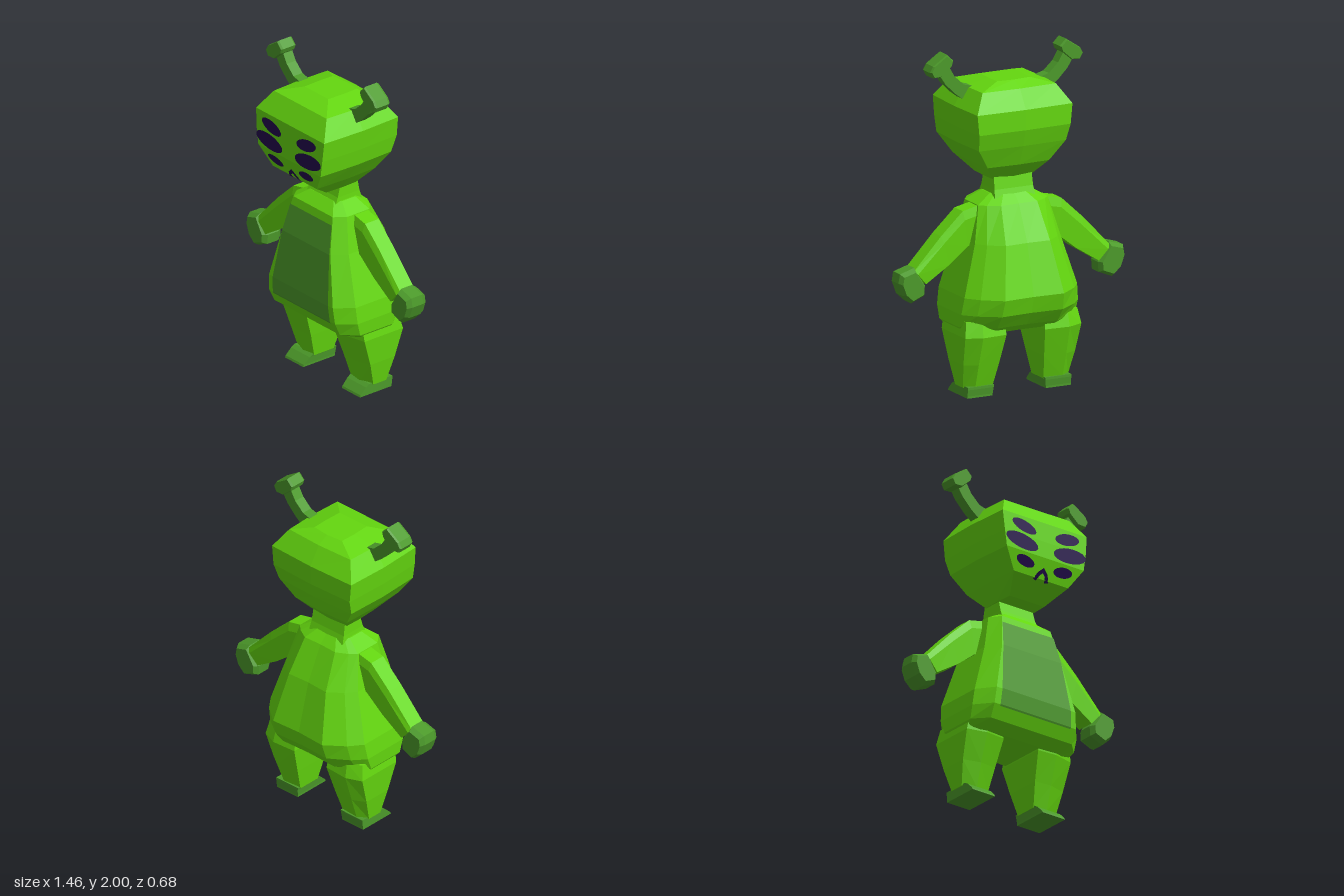
import * as THREE from 'three';

const green = new THREE.MeshStandardMaterial({ color: 0x64d70f });
green.name = 'bright green';
const darkGreen = new THREE.MeshStandardMaterial({ color: 0x4c9a2a });
darkGreen.name = 'dark green';
const purple = new THREE.MeshStandardMaterial({ color: 0x22084c });
purple.name = 'deep purple';

// Faceted skin through rings of points, capped at both ends and always facing outward
function loft(rings) {
  const tris = [], n = rings[0].length;
  const centre = (r) => [0, 1, 2].map((k) => r.reduce((s, p) => s + p[k], 0) / n);
  const first = rings[0], last = rings[rings.length - 1];
  const c0 = centre(first), c1 = centre(last);
  for (let j = 0; j < n; j++) {
    const k = (j + 1) % n;
    for (let i = 0; i + 1 < rings.length; i++) {
      const a = rings[i][j], b = rings[i][k], c = rings[i + 1][k], d = rings[i + 1][j];
      tris.push([a, b, c], [a, c, d]);
    }
    tris.push([c0, first[k], first[j]], [c1, last[j], last[k]]);
  }
  const v = (p) => new THREE.Vector3(...p);
  const volume = tris.reduce((s, [a, b, c]) => s + v(a).dot(v(b).cross(v(c))), 0);
  if (volume < 0) tris.forEach((t) => t.reverse());
  return facets(tris);
}

function facets(tris) {
  const geo = new THREE.BufferGeometry();
  geo.setAttribute('position', new THREE.Float32BufferAttribute(tris.flat(2), 3));
  geo.computeVertexNormals();
  return geo;
}

// Rectangle ring lying flat at height y
const rect = (x0, x1, y, z0, z1) => [[x0, y, z1], [x1, y, z1], [x1, y, z0], [x0, y, z0]];

// Outline in the xy plane given depth, with bevelled front and back
function bevelled(points, z0, z1, bevel, shrink) {
  const cx = points.reduce((s, p) => s + p[0], 0) / points.length;
  const cy = points.reduce((s, p) => s + p[1], 0) / points.length;
  const ring = (z, k) => points.map(([x, y]) => [cx + (x - cx) * k, cy + (y - cy) * k, z]);
  return loft([ring(z0, shrink), ring(z0 + bevel, 1), ring(z1 - bevel, 1), ring(z1, shrink)]);
}

// Front depth at height y for a list of [y, halfWidth, zFront, zBack]
function frontAt(profile, y) {
  for (let i = 0; i + 1 < profile.length; i++) {
    const [ya, , za] = profile[i], [yb, , zb] = profile[i + 1];
    if (y <= yb) return za + (zb - za) * (y - ya) / (yb - ya);
  }
  return profile[profile.length - 1][2];
}

// [y, halfWidth, zFront, zBack]
const HEAD = [
  [1.25, 0.13, 0.16, -0.07], [1.34, 0.205, 0.29, -0.15], [1.46, 0.29, 0.33, -0.2],
  [1.56, 0.305, 0.33, -0.23], [1.68, 0.317, 0.325, -0.23], [1.79, 0.245, 0.25, -0.16],
  [1.828, 0.11, 0.13, -0.09],
];
const BODY = [
  [0.38, 0.35, 0.12, -0.2], [0.42, 0.375, 0.2, -0.25], [0.5, 0.378, 0.237, -0.31],
  [0.6, 0.365, 0.245, -0.338], [0.9, 0.275, 0.205, -0.255], [1.11, 0.225, 0.155, -0.15],
  [1.165, 0.135, 0.09, -0.09],
];

const headRing = ([y, w, f, b]) => {
  const m = (f + b) / 2;
  return [[-0.96 * w, y, f], [0.96 * w, y, f], [w, y, m], [0.97 * w, y, b + 0.01],
    [0, y, b], [-0.97 * w, y, b + 0.01], [-w, y, m]];
};
const bodyRing = ([y, w, f, b]) => [
  [-0.78 * w, y, f], [0.78 * w, y, f], [w, y, 0.58 * f], [w, y, 0.5 * b],
  [0.83 * w, y, 0.74 * b], [0.52 * w, y, b], [0, y, b * 0.97], [-0.52 * w, y, b],
  [-0.83 * w, y, 0.74 * b], [-w, y, 0.5 * b], [-w, y, 0.58 * f],
];

// Flat marking that follows the face
function faceMark(points) {
  const geo = new THREE.ShapeGeometry(new THREE.Shape(points.map(([x, y]) => new THREE.Vector2(x, y))));
  const pos = geo.attributes.position;
  for (let i = 0; i < pos.count; i++) pos.setZ(i, frontAt(HEAD, pos.getY(i)) + 0.007);
  geo.computeVertexNormals();
  return geo;
}

function ellipse(cx, cy, rx, ry, tilt) {
  return Array.from({ length: 20 }, (_, i) => {
    const a = i / 20 * Math.PI * 2, u = rx * Math.cos(a), v = ry * Math.sin(a);
    return [cx + u * Math.cos(tilt) - v * Math.sin(tilt), cy + u * Math.sin(tilt) + v * Math.cos(tilt)];
  });
}

export function createModel() {
  const model = new THREE.Group();
  const add = (name, geo, mat) => {
    const mesh = new THREE.Mesh(geo, mat);
    mesh.name = name;
    model.add(mesh);
  };

  add('head', loft(HEAD.map(headRing)), green);
  add('body', loft(BODY.map(bodyRing)), green);
  add('neck', loft([rect(-0.13, 0.13, 1.14, -0.1, 0.1), rect(-0.125, 0.125, 1.19, -0.085, 0.075),
    rect(-0.122, 0.122, 1.28, -0.07, 0.05)]), green);

  // Belly patch follows the front of the body
  const rows = [[0.49, 0.255], [0.5, 0.255], [0.6, 0.247], [0.9, 0.21], [1.065, 0.185]]
    .map(([y, w]) => [-1, 1].map((s) => [s * w, y, frontAt(BODY, y) + 0.005]));
  const patch = [];
  for (let i = 0; i + 1 < rows.length; i++) {
    const [a, b] = rows[i], [d, c] = rows[i + 1];
    patch.push([a, b, c], [a, c, d]);
  }
  add('bellyPatch', facets(patch), darkGreen);

  add('mouth', faceMark([[0, 1.402], [-0.035, 1.37], [-0.054, 1.332], [-0.03, 1.328],
    [-0.018, 1.357], [0, 1.372], [0.018, 1.357], [0.03, 1.328], [0.054, 1.332], [0.035, 1.37]]), purple);

  for (const [side, s] of [['left', 1], ['right', -1]]) {
    const flip = (points) => points.map(([x, ...rest]) => [s * x, ...rest]);

    // Three eyes on each side
    [[0.155, 1.615, 0.088, 0.037, 0.22], [0.172, 1.517, 0.117, 0.047, 0.13], [0.135, 1.407, 0.066, 0.03, 0.14]]
      .forEach(([x, y, rx, ry, tilt], i) =>
        add(`${side}Eye${i + 1}`, faceMark(ellipse(s * x, y, rx, ry, s * tilt)), purple));

    // Antenna stalk and knob
    const stalk = [[0.2, 1.79, 0.27, 1.715], [0.275, 1.81, 0.335, 1.765],
      [0.335, 1.865, 0.395, 1.825], [0.385, 1.95, 0.45, 1.91]];
    add(`${side}AntennaStalk`, loft(stalk.map(([xa, ya, xb, yb]) =>
      flip([[xa, ya, 0.005], [xa, ya, 0.072], [xb, yb, 0.072], [xb, yb, 0.005]]))), darkGreen);
    add(`${side}AntennaKnob`, bevelled(flip([[0.345, 1.96], [0.385, 2], [0.475, 1.94], [0.495, 1.905],
      [0.475, 1.87], [0.42, 1.873], [0.355, 1.93]]), -0.008, 0.1, 0.012, 0.9), darkGreen);

    // Arm, from top edge to underside
    const arm = [[0.16, 1.12, 0.2, 0.9], [0.32, 1.085, 0.29, 0.875],
      [0.46, 0.955, 0.41, 0.78], [0.635, 0.77, 0.56, 0.685]];
    add(`${side}Arm`, loft(arm.map(([xa, ya, xb, yb]) => {
      const xm = xa + (xb - xa) * 0.25, ym = ya + (yb - ya) * 0.25;
      return flip([[xa, ya, -0.065], [xa, ya, 0.035], [xm, ym, 0.05], [xb, yb, 0.045],
        [xb, yb, -0.07], [xm, ym, -0.078]]);
    })), green);
    add(`${side}Hand`, bevelled(flip([[0.56, 0.675], [0.565, 0.615], [0.65, 0.58], [0.705, 0.63],
      [0.732, 0.705], [0.722, 0.76], [0.63, 0.787]]), -0.085, 0.055, 0.03, 0.8), darkGreen);

    // Leg and foot
    add(`${side}Leg`, loft([[0.165, 0.34, 0.055, -0.145, 0.02], [0.145, 0.362, 0.2, -0.19, 0.06],
      [0.125, 0.376, 0.37, -0.24, 0.115], [0.13, 0.36, 0.46, -0.22, 0.12]].map(([xa, xb, y, z0, z1]) => {
      const xm = (xa + xb) / 2;
      return flip([[xa, y, z1 - 0.01], [xm, y, z1], [xb, y, z1 - 0.03],
        [xb, y, z0 + 0.04], [xm + 0.03, y, z0], [xa, y, z0 + 0.01]]);
    })), green);
    add(`${side}Foot`, loft([rect(0.172, 0.335, 0, -0.15, 0.085), rect(0.172, 0.335, 0.012, -0.15, 0.08),
      rect(0.168, 0.335, 0.05, -0.155, 0.04), rect(0.165, 0.335, 0.065, -0.155, 0.015)].map(flip)), darkGreen);
  }
  return model;
}
